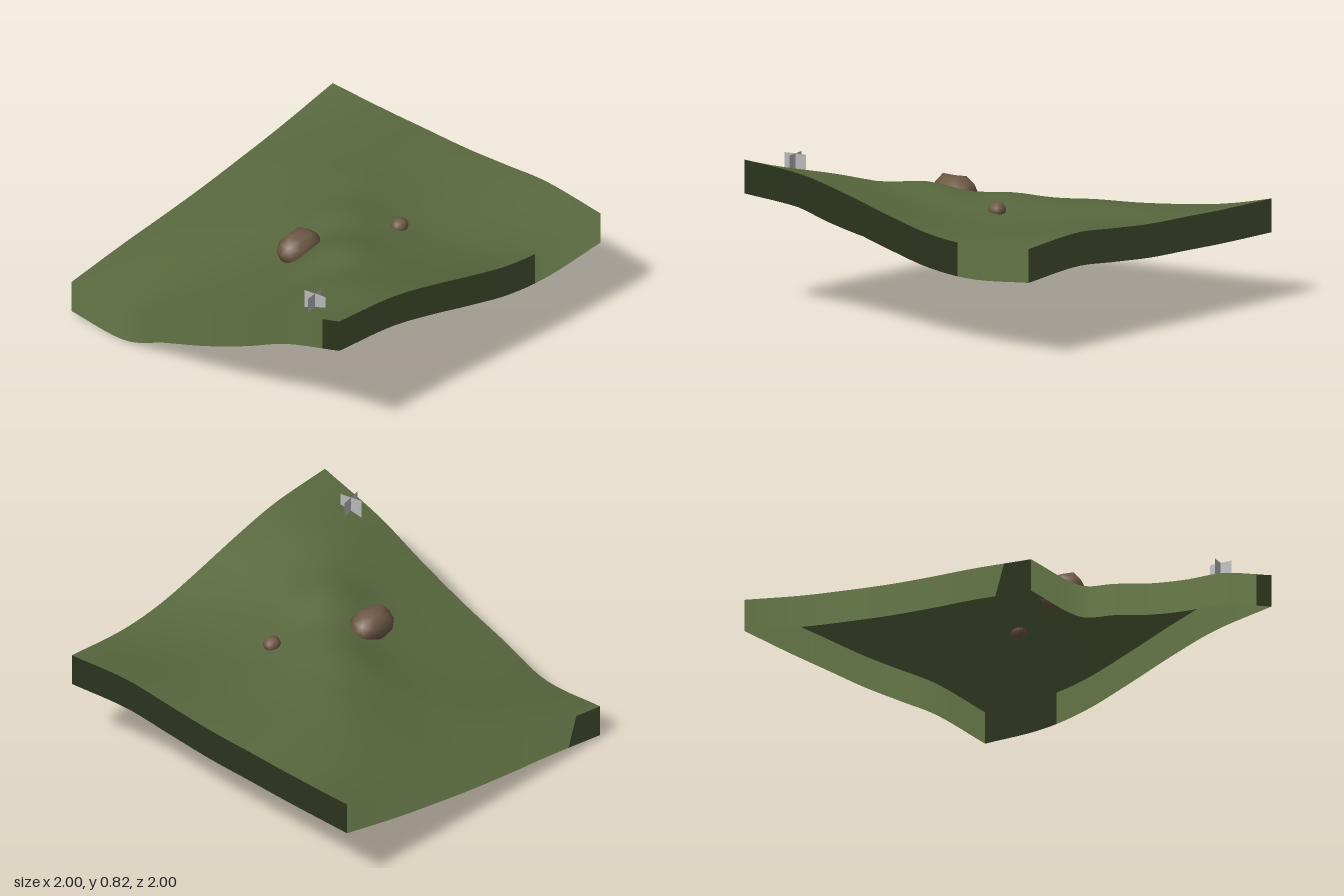
import * as THREE from 'three';
import { mergeVertices } from 'three/addons/utils/BufferGeometryUtils.js';

const grass = new THREE.MeshStandardMaterial({ name: 'grassGreen', color: 0x58683e, side: THREE.DoubleSide });
const stone = new THREE.MeshStandardMaterial({ name: 'stoneBrown', color: 0x6e5845 });
const card = new THREE.MeshStandardMaterial({ name: 'paleGrey', color: 0xb8b8b8, side: THREE.DoubleSide });

// Control heights of the hillside: rows run back to front, columns along x
const KNOTS = [-1, -0.6, -0.3, 0, 0.3, 0.6, 1];
const HEIGHTS = [
  [0.20, 0.265, 0.305, 0.35, 0.405, 0.465, 0.56],
  [0.19, 0.29, 0.365, 0.43, 0.50, 0.54, 0.565],
  [0.305, 0.365, 0.43, 0.52, 0.575, 0.575, 0.575],
  [0.415, 0.475, 0.535, 0.62, 0.59, 0.57, 0.585],
  [0.545, 0.605, 0.685, 0.62, 0.57, 0.575, 0.61],
  [0.69, 0.72, 0.68, 0.61, 0.57, 0.58, 0.635],
  [0.82, 0.795, 0.735, 0.66, 0.595, 0.575, 0.61],
];
const SKIRT = 0.185;
const N = 32;

// Smooth curve through values at the uneven knots
function spline(values, t) {
  const last = KNOTS.length - 1;
  let i = 0;
  while (i < last - 1 && t > KNOTS[i + 1]) i++;
  const slope = (k) => {
    const a = Math.max(k - 1, 0), b = Math.min(k + 1, last);
    return (values[b] - values[a]) / (KNOTS[b] - KNOTS[a]);
  };
  const h = KNOTS[i + 1] - KNOTS[i];
  const u = (t - KNOTS[i]) / h, u2 = u * u, u3 = u2 * u;
  return (2 * u3 - 3 * u2 + 1) * values[i] + (u3 - 2 * u2 + u) * h * slope(i)
    + (3 * u2 - 2 * u3) * values[i + 1] + (u3 - u2) * h * slope(i + 1);
}

const heightAt = (x, z) => spline(HEIGHTS.map((row) => spline(row, x)), z);

function makeGround() {
  const geo = new THREE.PlaneGeometry(2, 2, N, N).rotateX(-Math.PI / 2);
  const p = geo.attributes.position;
  for (let i = 0; i < p.count; i++) p.setY(i, heightAt(p.getX(i), p.getZ(i)));
  geo.computeVertexNormals();
  return geo;
}

// Hanging border that keeps the shading normals of the ground edge
function makeSkirt(ground, edge) {
  const p = ground.attributes.position, n = ground.attributes.normal;
  const pos = [], nor = [], index = [];
  edge.forEach((v, i) => {
    for (const drop of [0, SKIRT]) {
      pos.push(p.getX(v), p.getY(v) - drop, p.getZ(v));
      nor.push(n.getX(v), n.getY(v), n.getZ(v));
    }
    if (i > 0) {
      const a = 2 * i - 2;
      index.push(a, a + 1, a + 2, a + 2, a + 1, a + 3);
    }
  });
  const geo = new THREE.BufferGeometry();
  geo.setAttribute('position', new THREE.Float32BufferAttribute(pos, 3));
  geo.setAttribute('normal', new THREE.Float32BufferAttribute(nor, 3));
  geo.setIndex(index);
  return geo;
}

// Lumpy boulder with smooth shading
function makeRock(rx, ry, rz, lump) {
  let geo = new THREE.IcosahedronGeometry(1, 1);
  geo.deleteAttribute('uv');
  geo.deleteAttribute('normal');
  geo = mergeVertices(geo, 1e-3);
  const p = geo.attributes.position;
  for (let i = 0; i < p.count; i++) {
    const k = 1 + lump * Math.sin(p.getX(i) * 4 + p.getY(i) * 3 + 1) * Math.cos(p.getZ(i) * 4);
    p.setXYZ(i, p.getX(i) * k * rx, p.getY(i) * k * ry, p.getZ(i) * k * rz);
  }
  geo.computeVertexNormals();
  return geo;
}

export function createModel() {
  const model = new THREE.Group();
  model.name = 'hillside';
  const add = (name, geo, material, x = 0, y = 0, z = 0) => {
    const mesh = new THREE.Mesh(geo, material);
    mesh.name = name;
    mesh.position.set(x, y, z);
    model.add(mesh);
    return mesh;
  };

  // Ground sheet and its four borders
  const ground = makeGround();
  add('ground', ground, grass);
  const steps = Array.from({ length: N + 1 }, (_, i) => i);
  const row = N + 1;
  add('frontSkirt', makeSkirt(ground, steps.map((i) => N * row + i)), grass);
  add('backSkirt', makeSkirt(ground, steps.map((i) => N - i)), grass);
  add('leftSkirt', makeSkirt(ground, steps.map((i) => (N - i) * row + N)), grass);
  add('rightSkirt', makeSkirt(ground, steps.map((i) => i * row)), grass);

  // Half-buried rocks
  add('largeRock', makeRock(0.137, 0.095, 0.095, 0.1), stone, -0.335, 0.585, 0.05);
  add('smallRock', makeRock(0.05, 0.045, 0.046, 0.05), stone, 0.18, 0.597, 0.3);

  // Crossed upright cards of a small plant
  for (const turn of [0, 1]) {
    const leaf = add('plantCard' + (turn + 1), new THREE.PlaneGeometry(0.132, 0.13), card, -0.89, 0.757, 0.71);
    leaf.rotation.y = 0.2 + turn * Math.PI / 2;
  }
  return model;
}
